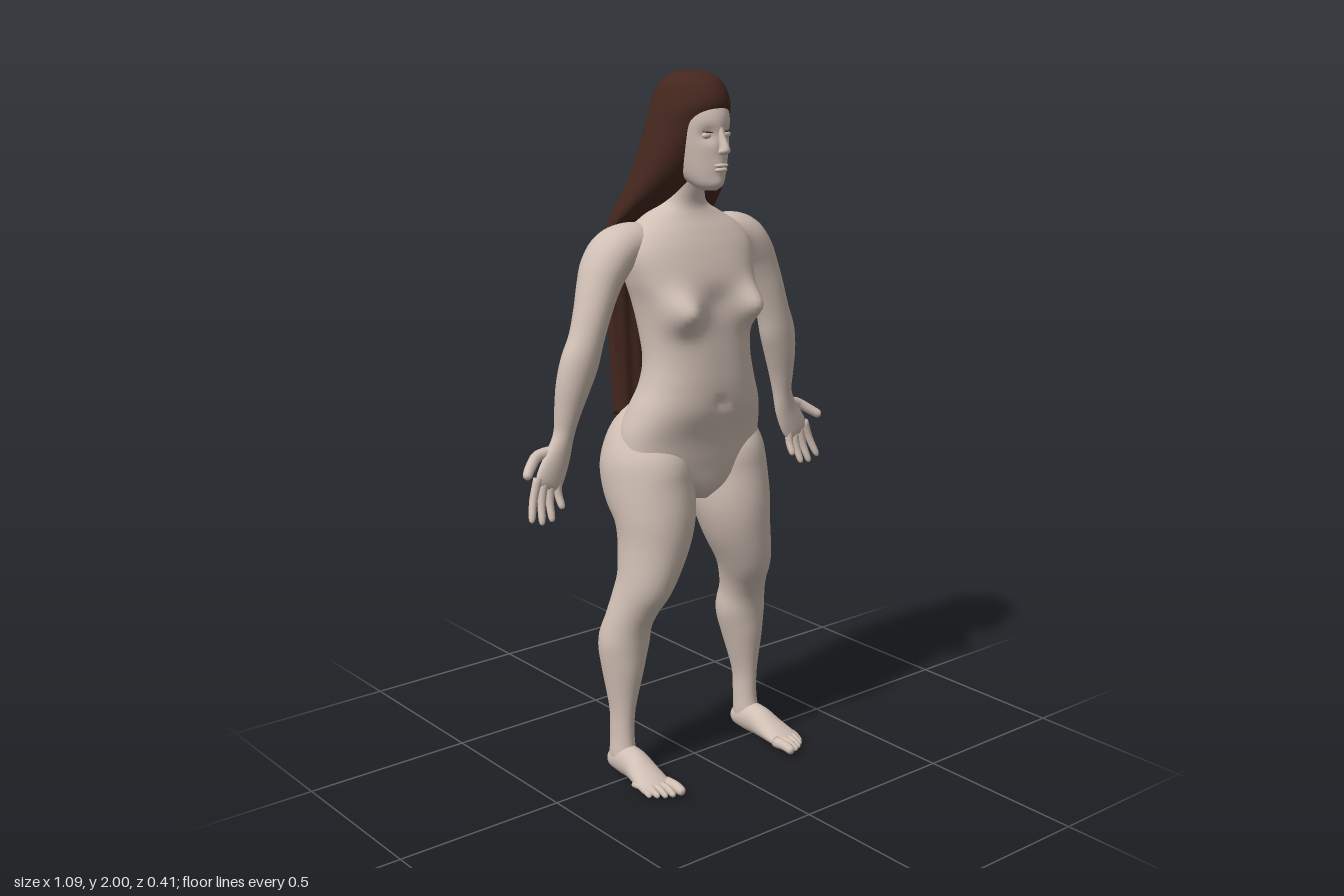
import * as THREE from 'three';

const skin = new THREE.MeshStandardMaterial({ color: 0xd0bfb4 });
skin.name = 'skin';
const hairBrown = new THREE.MeshStandardMaterial({ color: 0x44271e });
hairBrown.name = 'hairBrown';

const X = new THREE.Vector3(1, 0, 0), Y = new THREE.Vector3(0, 1, 0), Z = new THREE.Vector3(0, 0, 1);

// Catmull-Rom subdivision of section rows
function refine(rows, steps) {
  const out = [];
  const at = i => rows[Math.min(Math.max(i, 0), rows.length - 1)];
  for (let i = 0; i < rows.length - 1; i++) {
    for (let k = 0; k < steps; k++) {
      const t = k / steps, p = at(i - 1), q = at(i), r = at(i + 1), s = at(i + 2);
      out.push(q.map((v, c) => 0.5 * (2 * v + (r[c] - p[c]) * t
        + (2 * p[c] - 5 * v + 4 * r[c] - s[c]) * t * t
        + (3 * v - p[c] - 3 * r[c] + s[c]) * t * t * t)));
    }
  }
  out.push(rows[rows.length - 1]);
  return out;
}

// Closed skin over superellipse sections [x, y, z, halfWidth, halfDepth, exponent]
function loft(rows, { ref = Z, axis = null, seg = 28, steps = 5, rule = null } = {}) {
  const secs = refine(rows.map(r => (r.length < 6 ? [...r, 2] : r)), steps);
  const centre = secs.map(s => new THREE.Vector3(s[0], s[1], s[2]));
  const pos = [], idx = [], last = secs.length - 1;
  const put = v => { if (rule) rule(v); pos.push(v.x, v.y, v.z); };
  secs.forEach((s, i) => {
    const t = axis ? axis.clone()
      : centre[Math.min(i + 1, last)].clone().sub(centre[Math.max(i - 1, 0)]).normalize();
    const w = ref.clone().addScaledVector(t, -ref.dot(t)).normalize();
    const u = w.clone().cross(t);
    for (let j = 0; j < seg; j++) {
      const a = j / seg * Math.PI * 2, c = Math.cos(a), d = Math.sin(a), e = 2 / s[5];
      put(centre[i].clone()
        .addScaledVector(u, s[3] * Math.sign(c) * Math.abs(c) ** e)
        .addScaledVector(w, s[4] * Math.sign(d) * Math.abs(d) ** e));
    }
  });
  put(centre[0].clone());
  put(centre[last].clone());
  const c0 = secs.length * seg, c1 = c0 + 1;
  for (let j = 0; j < seg; j++) {
    const k = (j + 1) % seg;
    for (let i = 0; i < last; i++) {
      const a = i * seg + j, b = i * seg + k;
      idx.push(a, b, a + seg, b, b + seg, a + seg);
    }
    idx.push(c0, k, j, c1, last * seg + j, last * seg + k);
  }
  const g = new THREE.BufferGeometry();
  g.setAttribute('position', new THREE.Float32BufferAttribute(pos, 3));
  g.setIndex(idx);
  g.computeVertexNormals();
  return g;
}

// Upright section [y, halfWidth, front z, back z, exponent]
const upright = ([y, w, f, b, n = 2]) => [0, y, (f + b) / 2, w, (f - b) / 2, n];

// Soft swellings and hollows on the front: [x, y, amount, radius], mirrored in x
const swell = list => v => {
  if (v.z < 0) return;
  const fade = Math.min(1, v.z / 0.04);
  let dz = 0;
  for (const [x, y, amount, r] of list) {
    dz += amount * Math.exp(-((Math.abs(v.x) - x) ** 2 + (v.y - y) ** 2) / (r * r));
  }
  v.z += dz * fade;
};

// Tapered finger or toe along a few points
function digit(points, r, ref) {
  const n = points.length - 1;
  const rows = points.map((p, i) => [...p, r * (1 - 0.2 * i / n), r * (1 - 0.2 * i / n)]);
  const a = points[n - 1], b = points[n];
  rows[n] = [...b.map((v, i) => v * 0.8 + a[i] * 0.2), r * 0.75, r * 0.75];
  rows.push([...b, r * 0.25, r * 0.25]);
  return loft(rows, { ref, seg: 10, steps: 3 });
}

export function createModel() {
  const model = new THREE.Group();
  const add = (name, geometry, material = skin, parent = model) => {
    const m = new THREE.Mesh(geometry, material);
    m.name = name;
    parent.add(m);
    return m;
  };
  const blob = (name, x, y, z, rx, ry, rz, material = skin) => {
    const m = add(name, new THREE.SphereGeometry(1, 16, 12), material);
    m.position.set(x, y, z);
    m.scale.set(rx, ry, rz);
    return m;
  };

  // Torso and neck
  add('torso', loft([
    [0.81, 0.03, 0.05, -0.05], [0.85, 0.11, 0.08, -0.1], [0.92, 0.215, 0.09, -0.13, 2.2],
    [1.0, 0.228, 0.1, -0.15, 2.3], [1.08, 0.207, 0.122, -0.13, 2.3], [1.15, 0.18, 0.125, -0.105, 2.3],
    [1.22, 0.166, 0.12, -0.1, 2.3], [1.3, 0.168, 0.112, -0.115, 2.4], [1.38, 0.18, 0.108, -0.135, 2.4],
    [1.45, 0.2, 0.098, -0.145, 2.4], [1.52, 0.21, 0.07, -0.148, 2.4], [1.57, 0.185, 0.042, -0.14, 2.2],
    [1.61, 0.125, 0.015, -0.125], [1.64, 0.074, 0.005, -0.11], [1.68, 0.055, 0.012, -0.095],
    [1.73, 0.052, 0.025, -0.09],
  ].map(upright), {
    axis: Y, seg: 72, steps: 6,
    rule: swell([[0.125, 1.365, 0.062, 0.052], [0, 1.1, -0.012, 0.018], [0, 1.38, -0.008, 0.04]]),
  }));

  // Head with eye hollows
  add('head', loft([
    [1.685, 0.02, 0.085, 0.03], [1.7, 0.04, 0.102, 0], [1.73, 0.057, 0.108, -0.05],
    [1.78, 0.07, 0.112, -0.09], [1.83, 0.078, 0.115, -0.11], [1.88, 0.08, 0.113, -0.115],
    [1.92, 0.076, 0.096, -0.11], [1.96, 0.055, 0.062, -0.08], [1.975, 0.02, 0.02, -0.04],
  ].map(upright), {
    axis: Y, seg: 64, steps: 6,
    rule: swell([[0.033, 1.835, -0.014, 0.02], [0, 1.705, 0.006, 0.02], [0, 1.752, 0.005, 0.022]]),
  }));

  // Nose and lips
  add('nose', loft([
    [0, 1.855, 0.107, 0.008, 0.008], [0, 1.83, 0.115, 0.009, 0.012], [0, 1.805, 0.125, 0.012, 0.016],
    [0, 1.792, 0.125, 0.016, 0.017], [0, 1.783, 0.117, 0.012, 0.012],
  ], { axis: Y.clone().negate(), seg: 16 }));
  blob('upperLip', 0, 1.754, 0.113, 0.024, 0.006, 0.01);
  blob('lowerLip', 0, 1.742, 0.112, 0.021, 0.007, 0.01);

  // Long hair falling behind the shoulders, with strand grooves and a ragged hem
  add('hair', loft([
    [2.0, 0.012, 0, -0.03], [1.993, 0.045, 0.045, -0.07], [1.965, 0.078, 0.085, -0.115],
    [1.915, 0.096, 0.106, -0.14], [1.86, 0.109, 0.085, -0.15], [1.8, 0.123, 0.06, -0.155, 2.2],
    [1.73, 0.14, 0.025, -0.16, 2.5], [1.67, 0.154, -0.02, -0.172, 2.9], [1.61, 0.167, -0.085, -0.19, 3.4],
    [1.55, 0.172, -0.135, -0.2, 4], [1.4, 0.167, -0.148, -0.2, 4], [1.2, 0.16, -0.142, -0.195, 4],
    [1.04, 0.155, -0.132, -0.188, 4],
  ].map(upright), {
    axis: Y.clone().negate(), seg: 120, steps: 7,
    rule: v => {
      const drop = THREE.MathUtils.clamp((1.9 - v.y) / 0.4, 0, 1);
      if (v.z < -0.1) v.z += drop * (0.003 * Math.sin(v.x * 130) + 0.002 * Math.sin(v.x * 61 + 1));
      if (v.y < 1.06) v.y += 0.008 * Math.sin(v.x * 170) + 0.006 * Math.sin(v.x * 67);
    },
  }), hairBrown);

  for (const s of [1, -1]) {
    const side = s > 0 ? 'left' : 'right';
    const flip = rows => rows.map(([x, ...rest]) => [x * s, ...rest]);

    // Eye and lashes
    blob(side + 'Eye', s * 0.033, 1.834, 0.092, 0.016, 0.009, 0.009);
    const lash = blob(side + 'Lashes', s * 0.034, 1.843, 0.098, 0.017, 0.002, 0.004, hairBrown);
    lash.rotation.set(0, s * 0.3, s * 0.12);

    // Leg with buttock, knee and calf
    add(side + 'Leg', loft(flip([
      [0.11, 1.07, -0.06, 0.06, 0.06], [0.125, 1.0, -0.065, 0.1, 0.112], [0.132, 0.93, -0.057, 0.122, 0.142],
      [0.137, 0.86, -0.038, 0.122, 0.143], [0.14, 0.78, -0.007, 0.115, 0.122], [0.152, 0.7, 0.003, 0.1, 0.11],
      [0.18, 0.6, 0.003, 0.078, 0.095], [0.2, 0.53, -0.017, 0.069, 0.077], [0.213, 0.47, -0.035, 0.069, 0.068],
      [0.22, 0.4, -0.052, 0.074, 0.073], [0.226, 0.32, -0.05, 0.059, 0.066], [0.233, 0.2, -0.045, 0.034, 0.045],
      [0.235, 0.12, -0.044, 0.032, 0.041], [0.237, 0.06, -0.04, 0.035, 0.044], [0.237, 0.025, -0.04, 0.03, 0.04],
    ]), { seg: 36 }));

    // Foot and toes
    add(side + 'Foot', loft(flip([
      [0.237, 0.03, -0.086, 0.012, 0.012], [0.237, 0.034, -0.075, 0.03, 0.03], [0.237, 0.045, -0.03, 0.037, 0.045],
      [0.238, 0.046, 0.02, 0.04, 0.045], [0.242, 0.034, 0.07, 0.046, 0.033], [0.247, 0.022, 0.12, 0.05, 0.021],
      [0.249, 0.016, 0.145, 0.046, 0.014], [0.249, 0.014, 0.155, 0.03, 0.008],
    ]), { ref: Y }));
    const toes = new THREE.Group();
    toes.name = side + 'Toes';
    model.add(toes);
    [[0.209, 0.206, 0.017], [0.234, 0.197, 0.012], [0.254, 0.187, 0.011], [0.272, 0.173, 0.011],
      [0.288, 0.156, 0.01]].forEach(([x, z, r], i) => {
      add('toe' + (i + 1), digit(flip([[x, 0.022, z - 0.075], [x, 0.024, z - 0.035], [x, r, z]]), r, Y), skin, toes);
    });

    // Arm from shoulder to palm
    add(side + 'Arm', loft(flip([
      [0.1, 1.545, -0.065, 0.04, 0.05], [0.17, 1.543, -0.065, 0.056, 0.065], [0.225, 1.522, -0.067, 0.064, 0.074],
      [0.262, 1.48, -0.066, 0.062, 0.073], [0.288, 1.43, -0.06, 0.056, 0.064], [0.312, 1.37, -0.053, 0.05, 0.056],
      [0.336, 1.3, -0.05, 0.048, 0.05], [0.358, 1.235, -0.053, 0.054, 0.049], [0.376, 1.17, -0.06, 0.048, 0.046],
      [0.39, 1.1, -0.068, 0.036, 0.038], [0.4, 1.04, -0.073, 0.029, 0.029], [0.418, 0.985, -0.075, 0.038, 0.024],
      [0.44, 0.94, -0.073, 0.045, 0.02], [0.456, 0.91, -0.07, 0.043, 0.015], [0.462, 0.897, -0.07, 0.025, 0.008],
    ])));

    // Spread fingers and thumb
    const fingers = new THREE.Group();
    fingers.name = side + 'Fingers';
    model.add(fingers);
    [[0.49, 0.932, 0.528, 0.818], [0.471, 0.917, 0.494, 0.805], [0.45, 0.908, 0.461, 0.808],
      [0.428, 0.912, 0.426, 0.838]].forEach(([x0, y0, x1, y1], i) => {
      add('finger' + (i + 1), digit(flip([
        [x0, y0, -0.07], [(x0 + x1) / 2, (y0 + y1) / 2, -0.066], [x1, y1, -0.048],
      ]), 0.0125, Z), skin, fingers);
    });
    add('thumb', digit(flip([[0.425, 0.995, -0.082], [0.475, 0.988, -0.09], [0.512, 0.965, -0.072],
      [0.54, 0.945, -0.05]]), 0.017, Z), skin, fingers);
  }
  return model;
}
